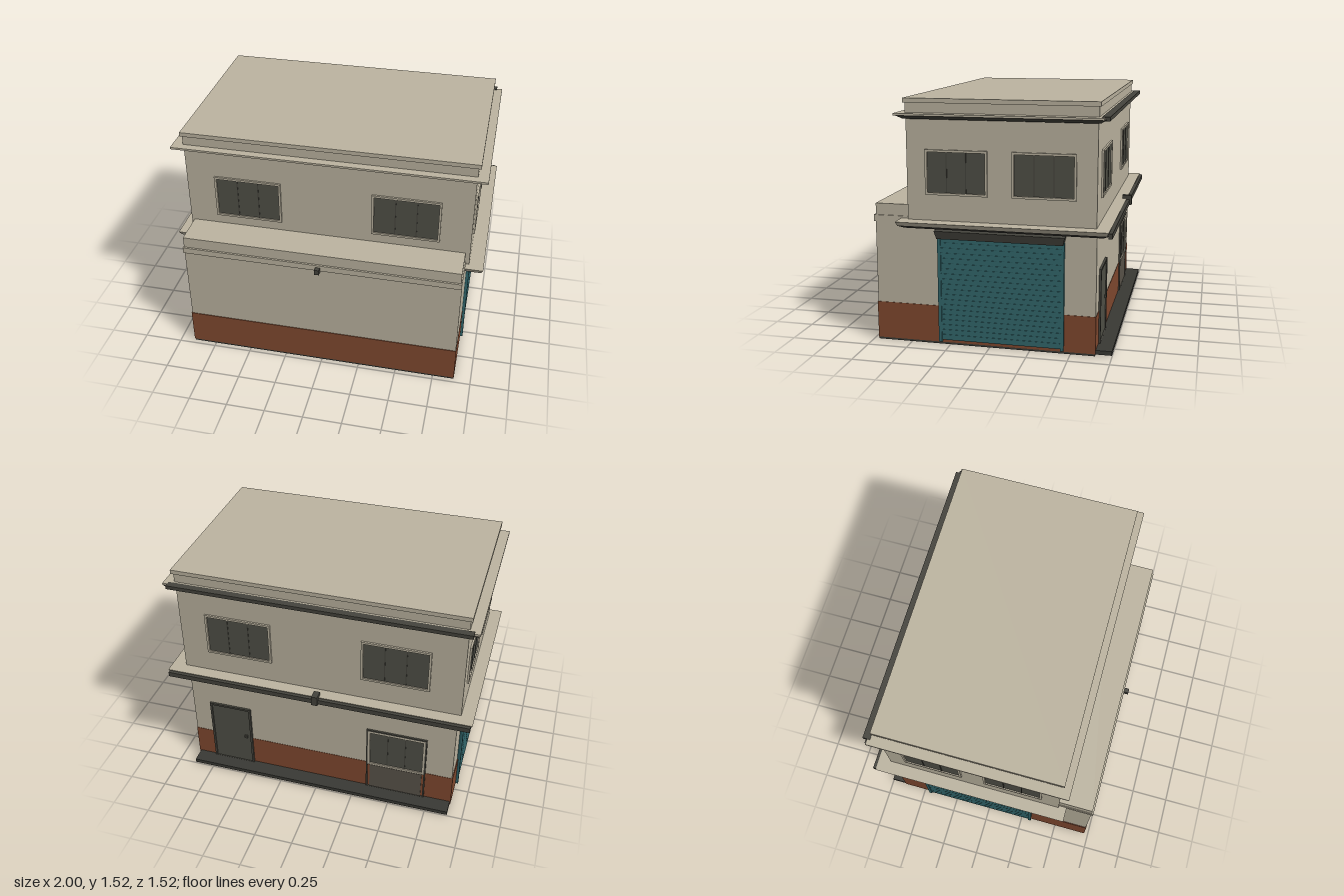
import * as THREE from 'three';

const mat = (name, color, extra) => Object.assign(new THREE.MeshStandardMaterial({ color }), { name });
const wall = mat('plaster', 0xbcb4a0);
const brick = mat('brick plinth', 0x81492f);
const teal = mat('teal shutter', 0x32686d);
const tealDark = mat('dark teal', 0x2a585c);
const glass = mat('dark glass', 0x505047);
const dark = mat('dark trim', 0x45443d);
const panel = mat('door panel', 0x5a544a);
const base = mat('base', 0x393934);

export function createModel() {
  const model = new THREE.Group();
  model.name = 'building';

  // Box from its limits; inset narrows the underside to make a flared ledge
  function box(name, material, x0, x1, y0, y1, z0, z1, inset = 0, parent = model) {
    const g = new THREE.BoxGeometry(x1 - x0, y1 - y0, z1 - z0);
    if (inset) {
      const p = g.attributes.position;
      for (let i = 0; i < p.count; i++) {
        if (p.getY(i) < 0) {
          p.setX(i, p.getX(i) - Math.sign(p.getX(i)) * inset);
          p.setZ(i, p.getZ(i) - Math.sign(p.getZ(i)) * inset);
        }
      }
      g.computeVertexNormals();
    }
    const m = new THREE.Mesh(g, material);
    m.name = name;
    m.position.set((x0 + x1) / 2, (y0 + y1) / 2, (z0 + z1) / 2);
    parent.add(m);
    return m;
  }

  // Group whose local +z points out of the wall and local +x runs along it
  function facing(name, x, z, angle) {
    const g = new THREE.Group();
    g.name = name;
    g.position.set(x, 0, z);
    g.rotation.y = angle;
    model.add(g);
    return g;
  }

  // Thin raised surround around an opening
  function surround(name, material, x0, x1, y0, y1, t, depth, parent) {
    box(name + 'Left', material, x0 - t, x0, y0 - t, y1 + t, -0.01, depth, 0, parent);
    box(name + 'Right', material, x1, x1 + t, y0 - t, y1 + t, -0.01, depth, 0, parent);
    box(name + 'Top', material, x0, x1, y1, y1 + t, -0.01, depth, 0, parent);
    box(name + 'Bottom', material, x0, x1, y0 - t, y0, -0.01, depth, 0, parent);
  }

  function windowUnit(parent, x0, x1, y0, y1) {
    const g = new THREE.Group();
    g.name = 'window';
    parent.add(g);
    box('glass', glass, x0, x1, y0, y1, -0.002, 0.004, 0, g);
    surround('frame', wall, x0, x1, y0, y1, 0.014, 0.012, g);
    for (const f of [1 / 3, 2 / 3]) {
      const x = x0 + (x1 - x0) * f;
      box('mullion', dark, x - 0.003, x + 0.003, y0, y1, 0, 0.007, 0, g);
    }
  }

  // Body: base, plinth, ground floor and upper floor
  box('underside', base, -0.9, 0.89, 0, 0.012, -0.65, 0.72);
  box('plinth', brick, -0.905, 0.89, 0.012, 0.245, -0.652, 0.722);
  box('groundFloor', wall, -0.9, 0.887, 0.245, 0.76, -0.65, 0.718);
  box('frontParapet', wall, -0.9, 0.88, 0.76, 0.872, 0.4, 0.718);
  box('frontParapetBand', wall, -0.905, 0.887, 0.76, 0.8, 0.5, 0.73);
  box('frontSpout', dark, -0.03, 0.0, 0.75, 0.785, 0.71, 0.76);
  box('upperFloor', wall, -0.918, 0.908, 0.76, 1.41, -0.65, 0.5);

  // Ledge between the floors, with a dark soffit
  box('ledgeSoffit', dark, -0.985, 0.985, 0.745, 0.762, -0.725, 0.54, 0.03);
  box('ledge', wall, -1, 1, 0.762, 0.788, -0.73, 0.552, 0.012);
  box('backLedgeEdge', dark, -0.99, 0.99, 0.75, 0.782, -0.75, -0.728);
  box('backSpout', dark, -0.03, 0.01, 0.745, 0.81, -0.762, -0.7);

  // Roof cornice, parapet and lip
  box('corniceSoffit', dark, -0.975, 0.965, 1.4, 1.422, -0.7, 0.545, 0.035);
  box('cornice', wall, -0.985, 0.975, 1.422, 1.435, -0.69, 0.555);
  box('backCorniceEdge', dark, -0.95, 0.94, 1.415, 1.439, -0.718, -0.672);
  box('roofParapet', wall, -0.92, 0.91, 1.435, 1.495, -0.655, 0.503);
  box('roof', wall, -0.932, 0.925, 1.495, 1.522, -0.665, 0.512);

  // Front and back upper windows
  const front = facing('frontWindows', 0, 0.5, 0);
  windowUnit(front, -0.72, -0.315, 0.95, 1.21);
  windowUnit(front, 0.295, 0.7, 0.95, 1.21);
  const back = facing('backOpenings', 0, -0.65, Math.PI);
  windowUnit(back, -0.72, -0.315, 0.95, 1.21);
  windowUnit(back, 0.295, 0.7, 0.95, 1.21);

  // Back door, and back window above a solid panel
  box('backDoor', glass, -0.75, -0.49, 0.03, 0.49, -0.002, 0.007, 0, back);
  surround('doorFrame', dark, -0.75, -0.49, 0.035, 0.49, 0.014, 0.014, back);
  box('doorHandle', dark, -0.53, -0.51, 0.25, 0.27, 0, 0.018, 0, back);
  box('lowerPanel', panel, 0.35, 0.7, 0.03, 0.23, -0.002, 0.008, 0, back);
  windowUnit(back, 0.35, 0.7, 0.25, 0.51);
  surround('panelFrame', dark, 0.336, 0.714, 0.035, 0.524, 0.01, 0.012, back);
  box('backStep', base, -0.9, 0.88, 0.008, 0.034, -0.75, -0.64);

  // Both ends: pair of windows, roller shutter and its housing
  for (const s of [1, -1]) {
    const upper = facing('sideWindows', s > 0 ? 0.908 : -0.918, 0, s * Math.PI / 2);
    const span = (a, b) => (s > 0 ? [-b, -a] : [a, b]);
    for (const [a, b] of [[0.015, 0.37], [-0.515, -0.16]]) windowUnit(upper, ...span(a, b), 0.96, 1.205);

    const end = facing('garageEnd', s > 0 ? 0.89 : -0.905, 0, s * Math.PI / 2);
    const [x0, x1] = span(-0.46, 0.32);
    box('shutterBacking', tealDark, x0, x1, 0.03, 0.69, -0.02, 0.008, 0, end);
    for (let i = 0; i < 20; i++) {
      const y = 0.035 + i * 0.0325;
      box('shutterSlat', teal, x0 + 0.02, x1 - 0.02, y, y + 0.0305, 0, 0.011, 0, end);
    }
    for (const x of [x0, x1 - 0.02]) box('shutterRail', teal, x, x + 0.02, 0.02, 0.69, -0.01, 0.017, 0, end);
    box('shutterHousing', dark, x0 - 0.008, x1 + 0.008, 0.68, 0.73, -0.02, 0.055, 0.012, end);
  }
  return model;
}
